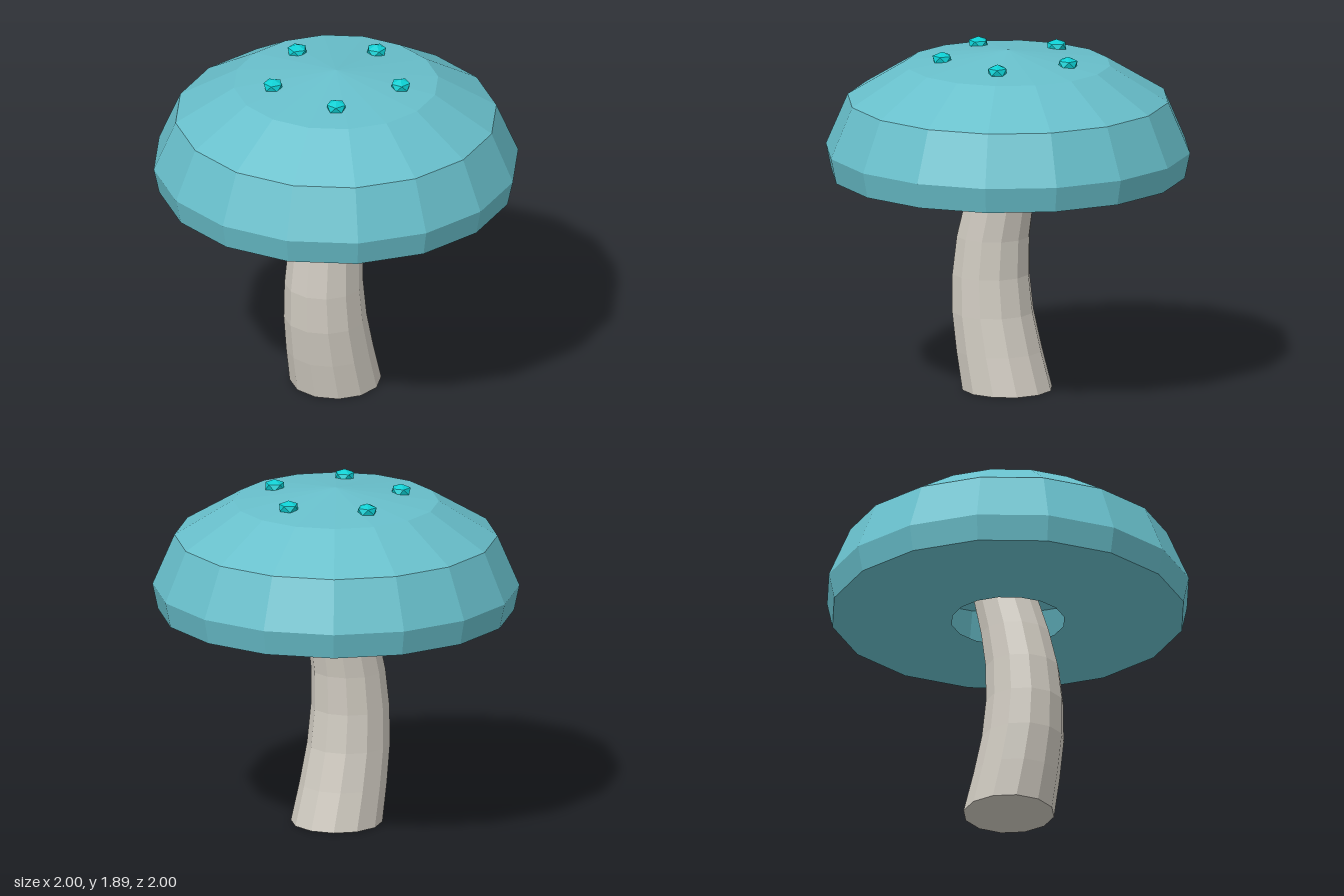
import * as THREE from 'three';

const material = (name, color, side = THREE.FrontSide) => {
  const m = new THREE.MeshStandardMaterial({ color, side, flatShading: true });
  m.name = name;
  return m;
};

const mesh = (name, geometry, mat) => {
  const m = new THREE.Mesh(geometry, mat);
  m.name = name;
  return m;
};

// Tapered stem whose rings follow a gentle bend in z
function stemGeometry() {
  const height = 1.27;
  const bend = [0.005, 0.055, 0.095, 0.108, 0.093, 0.05, -0.01];
  const rings = bend.length - 1;
  const geo = new THREE.CylinderGeometry(0.18, 0.25, height, 12, rings, false, THREE.MathUtils.degToRad(12));
  geo.translate(0, height / 2, 0);
  const p = geo.attributes.position;
  for (let i = 0; i < p.count; i++) {
    p.setZ(i, p.getZ(i) + bend[Math.round((p.getY(i) / height) * rings)]);
  }
  geo.computeVertexNormals();
  return geo;
}

// Hollow faceted cap: underside with a hole, rim, then dome
function capGeometry() {
  const profile = [[0.31, 1.16], [0.97, 1.2], [1, 1.34], [0.88, 1.62], [0.56, 1.815], [0, 1.89]];
  return new THREE.LatheGeometry(profile.map(([r, y]) => new THREE.Vector2(r, y)), 16);
}

// Flattened icosahedron with one corner pointing up
function spotGeometry() {
  const geo = new THREE.IcosahedronGeometry(0.059, 0);
  geo.rotateZ(Math.atan(2 / (1 + Math.sqrt(5))));
  geo.scale(1, 0.65, 1);
  return geo;
}

export function createModel() {
  const group = new THREE.Group();
  group.name = 'mushroom';

  const capMat = material('capTeal', 0x68bfcb, THREE.DoubleSide);
  const stemMat = material('stemCream', 0xcfcac0);
  const spotMat = material('spotCyan', 0x0ccfd3);

  group.add(mesh('stem', stemGeometry(), stemMat));
  group.add(mesh('cap', capGeometry(), capMat));

  // Ring of small raised spots near the crown
  const spots = new THREE.Group();
  spots.name = 'spots';
  const spotGeo = spotGeometry();
  const places = [[-0.01, -0.37], [0.345, -0.13], [0.225, 0.285], [-0.2, 0.3], [-0.35, -0.105]];
  places.forEach(([x, z], i) => {
    const spot = mesh(`spot${i + 1}`, spotGeo, spotMat);
    spot.position.set(x, 1.853, z);
    spot.rotation.y = i * 1.1;
    spots.add(spot);
  });
  group.add(spots);

  return group;
}
